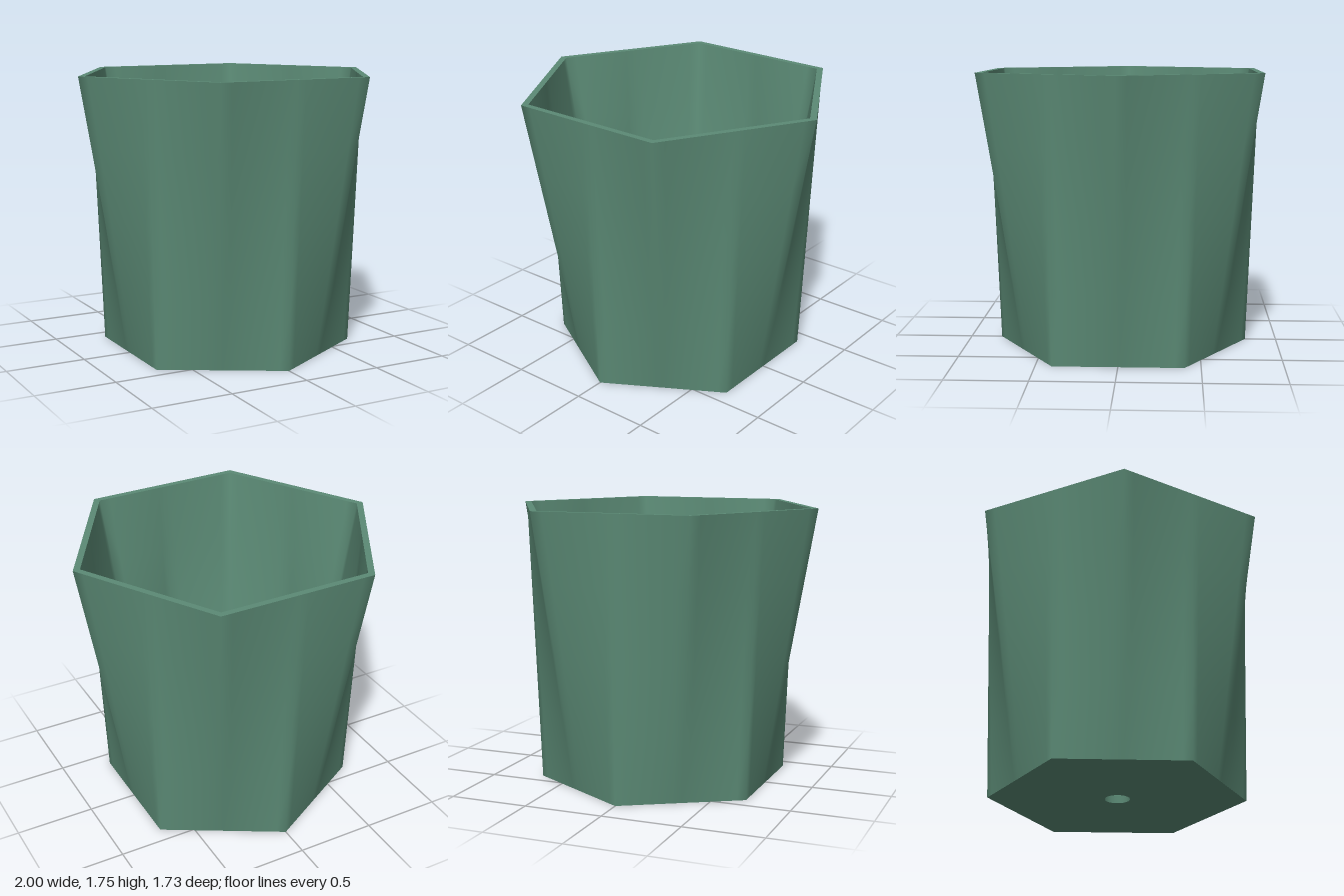
import * as THREE from 'three';

const HEIGHT = 1.75, FLOOR = 0.05, STEPS = 96, ROWS = 4;

// distance from the centre to a hexagon's edge at an angle; turn is the angle of one corner
function hexRadius(angle, corner, turn) {
  const sector = Math.PI / 3;
  const a = (((angle - turn) % sector) + sector) % sector;
  return corner * Math.cos(sector / 2) / Math.cos(a - sector / 2);
}

// ring-by-ring skin between rings given as functions angle -> [radius, y]
function skin(rings, inward) {
  const positions = [], index = [];
  for (const ring of rings) {
    for (let i = 0; i < STEPS; i++) {
      const a = (i / STEPS) * Math.PI * 2;
      const [r, y] = ring(a);
      positions.push(r * Math.cos(a), y, r * Math.sin(a));
    }
  }
  for (let j = 0; j < rings.length - 1; j++) {
    for (let i = 0; i < STEPS; i++) {
      const n = (i + 1) % STEPS;
      const a = j * STEPS + i, b = j * STEPS + n, c = a + STEPS, d = b + STEPS;
      if (inward) index.push(a, b, c, b, d, c);
      else index.push(a, c, b, b, c, d);
    }
  }
  const geometry = new THREE.BufferGeometry();
  geometry.setAttribute('position', new THREE.Float32BufferAttribute(positions, 3));
  geometry.setIndex(index);
  geometry.computeVertexNormals();
  return geometry;
}

// wall blending from a hexagon with corners on z to one with corners on x
function wall(bottomCorner, topCorner, y0, inward) {
  const rings = [];
  for (let j = 0; j <= ROWS; j++) {
    const t = j / ROWS;
    rings.push((a) => [
      THREE.MathUtils.lerp(hexRadius(a, bottomCorner, Math.PI / 6), hexRadius(a, topCorner, 0), t),
      THREE.MathUtils.lerp(y0, HEIGHT, t),
    ]);
  }
  return skin(rings, inward);
}

export function createModel() {
  const group = new THREE.Group();
  group.name = 'planter';
  const green = new THREE.MeshStandardMaterial({ color: 0x5b8a75 });
  green.name = 'sage green';

  const add = (name, geometry) => {
    const mesh = new THREE.Mesh(geometry, green);
    mesh.name = name;
    group.add(mesh);
  };

  add('outerWall', wall(0.8, 1, 0, false));
  add('innerWall', wall(0.755, 0.955, FLOOR, true));

  // flat rim joining both walls
  add('rim', skin([
    (a) => [hexRadius(a, 1, 0), HEIGHT],
    (a) => [hexRadius(a, 0.955, 0), HEIGHT],
  ], false));

  // floor slab with a round drain hole
  const shape = new THREE.Shape();
  for (let i = 0; i < 6; i++) {
    const a = Math.PI / 6 + (i * Math.PI) / 3;
    const x = 0.799 * Math.cos(a), y = 0.799 * Math.sin(a);
    if (i === 0) shape.moveTo(x, y);
    else shape.lineTo(x, y);
  }
  shape.closePath();
  const hole = new THREE.Path();
  hole.absarc(0, 0, 0.078, 0, Math.PI * 2, true);
  shape.holes.push(hole);
  const floor = new THREE.ExtrudeGeometry(shape, { depth: FLOOR, bevelEnabled: false, curveSegments: 32 });
  floor.rotateX(-Math.PI / 2);
  add('floor', floor);

  return group;
}
